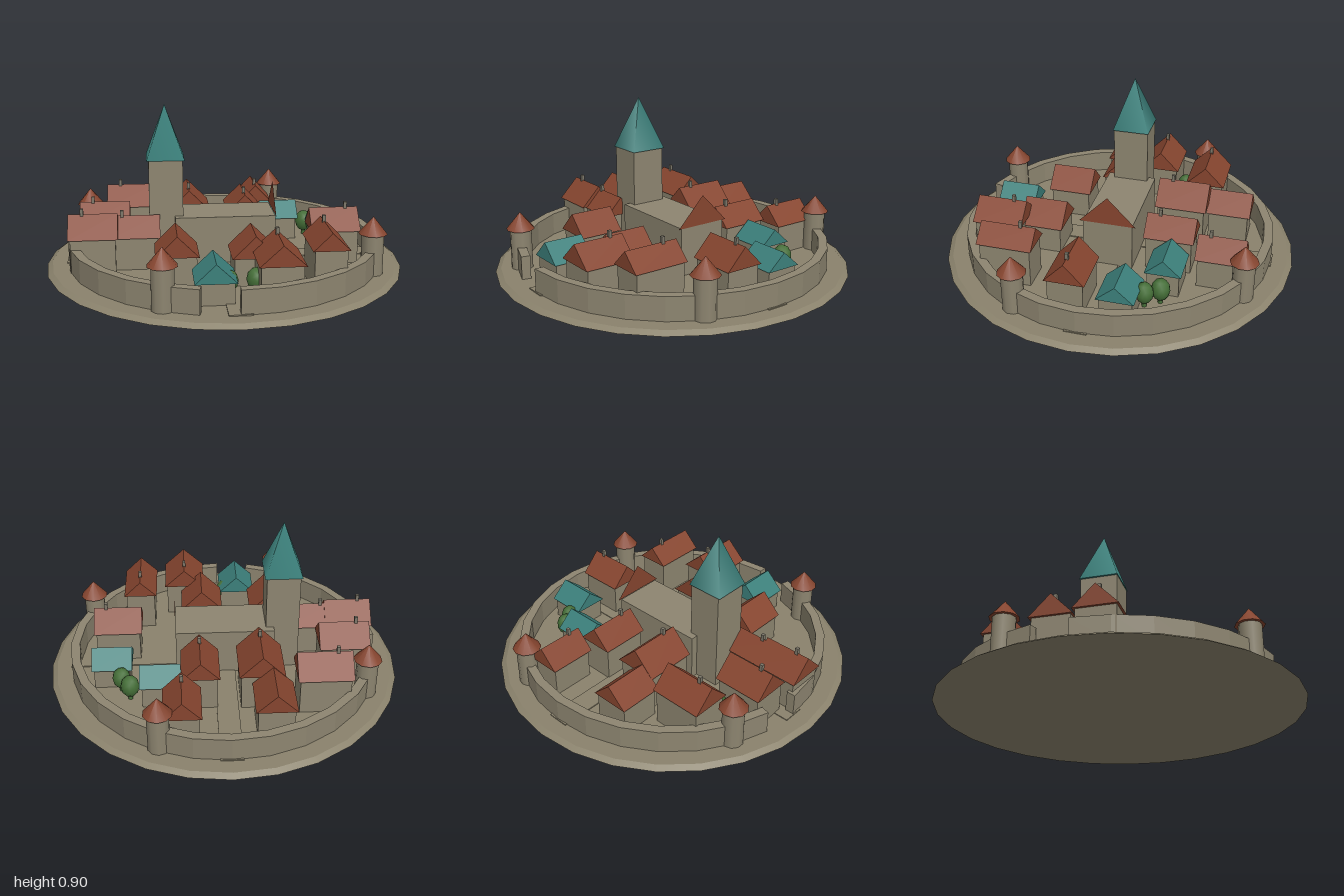
import * as THREE from 'three';

const mat = (name, color, extra = {}) => {
  const m = new THREE.MeshStandardMaterial({ color, ...extra });
  m.name = name;
  return m;
};

export function createModel() {
  const town = new THREE.Group();
  town.name = 'walledTown';
  const earth = mat('earth', 0x8a826c);
  const stone = mat('stone', 0x8d8570);
  const red = mat('redTile', 0x86452f);
  const redSheet = mat('redTileGable', 0x86452f, { side: THREE.DoubleSide });
  const teal = mat('tealTile', 0x3c807b);
  const green = mat('leaf', 0x456f38);
  const grey = mat('chimneyStone', 0x7d786a);

  const add = (name, geo, material, x = 0, y = 0, z = 0, parent = town) => {
    const mesh = new THREE.Mesh(geo, material);
    mesh.name = name;
    mesh.position.set(x, y, z);
    parent.add(mesh);
    return mesh;
  };
  const box = (name, w, h, d, material, x, y, z, parent) =>
    add(name, new THREE.BoxGeometry(w, h, d), material, x, y + h / 2, z, parent);

  const FLOOR = 0.02, SIDES = 28, STEP = (Math.PI * 2) / SIDES;

  // Ground disc and crossing roads
  add('ground', new THREE.CylinderGeometry(0.97, 1, FLOOR, SIDES), earth, 0, FLOOR / 2, 0);
  box('roadNorthSouth', 0.12, 0.006, 1.77, earth, 0, FLOOR, 0);
  box('roadEastWest', 1.77, 0.005, 0.12, earth, 0, FLOOR, 0);

  // Town wall: arcs of straight pieces, with one piece left out at each gate
  const wallArc = (name, from, to) => {
    const shape = new THREE.Shape();
    const at = (r, i) => [r * Math.cos(i * STEP), -r * Math.sin(i * STEP)];
    shape.moveTo(...at(0.88, from));
    for (let i = from + 1; i <= to; i++) shape.lineTo(...at(0.88, i));
    for (let i = to; i >= from; i--) shape.lineTo(...at(0.83, i));
    const geo = new THREE.ExtrudeGeometry(shape, { depth: 0.13, bevelEnabled: false });
    geo.rotateX(-Math.PI / 2);
    add(name, geo, stone, 0, FLOOR, 0);
  };
  wallArc('townWallShort', 8, 14);
  wallArc('townWallLong', 15, 35);

  // Round wall towers
  for (let k = 0; k < 4; k++) {
    const a = 2 * STEP + (k * Math.PI) / 2;
    const x = 0.852 * Math.cos(a), z = 0.852 * Math.sin(a);
    add('wallTower', new THREE.CylinderGeometry(0.06, 0.06, 0.23, 10), stone, x, FLOOR + 0.115, z);
    add('wallTowerRoof', new THREE.ConeGeometry(0.078, 0.095, 10), red, x, 0.2925, z);
  }

  // Church: nave with a gable at its end, square tower and spire
  box('churchNave', 0.555, 0.27, 0.28, stone, -0.0025, FLOOR, 0);
  const gable = new THREE.Shape([[-0.16, 0], [0.16, 0], [0, 0.165]].map(p => new THREE.Vector2(...p)));
  add('churchGable', new THREE.ShapeGeometry(gable), redSheet, 0.277, 0.29, 0).rotation.y = Math.PI / 2;
  box('churchTower', 0.187, 0.585, 0.2, stone, -0.328, FLOOR, 0);
  const spire = new THREE.ConeGeometry(0.148, 0.297, 4);
  spire.rotateY(Math.PI / 4);
  add('churchSpire', spire, teal, -0.328, 0.7535, 0);

  // House: box walls, a prism roof with small eaves, optional chimney on the ridge
  const house = ([x0, x1, z0, z1, axis, eave, peak, tile, chimney]) => {
    const g = new THREE.Group();
    g.name = 'house';
    const cx = (x0 + x1) / 2, cz = (z0 + z1) / 2;
    g.position.set(cx, 0, cz);
    const alongX = axis === 'x';
    const span = alongX ? z1 - z0 : x1 - x0;
    const length = alongX ? x1 - x0 : z1 - z0;
    box('houseWalls', x1 - x0 - 0.026, eave - FLOOR, z1 - z0 - 0.026, stone, 0, FLOOR, 0, g);
    const tri = new THREE.Shape();
    tri.moveTo(-span / 2, 0).lineTo(span / 2, 0).lineTo(0, peak - eave).closePath();
    const roof = new THREE.ExtrudeGeometry(tri, { depth: length, bevelEnabled: false });
    roof.translate(0, 0, -length / 2);
    if (alongX) roof.rotateY(Math.PI / 2);
    add('houseRoof', roof, tile, 0, eave, 0, g);
    if (chimney !== undefined) {
      box('chimney', 0.018, 0.07, 0.018, grey,
        alongX ? chimney - cx : 0, peak - 0.04, alongX ? 0 : chimney - cz, g);
    }
    town.add(g);
  };
  // x range, z range, ridge axis, eave height, ridge height, tile, chimney place
  [
    [-0.35, -0.13, -0.73, -0.48, 'z', 0.19, 0.295, red],
    [-0.31, -0.06, -0.485, -0.19, 'z', 0.23, 0.355, red, -0.27],
    [-0.67, -0.37, -0.54, -0.31, 'x', 0.23, 0.345, red, -0.59],
    [-0.815, -0.53, -0.23, -0.005, 'x', 0.21, 0.325, red, -0.74],
    [-0.865, -0.595, 0.005, 0.235, 'x', 0.205, 0.322, red, -0.79],
    [-0.64, -0.365, 0.01, 0.21, 'x', 0.2, 0.305, red, -0.572],
    [-0.4, -0.17, 0.235, 0.49, 'z', 0.18, 0.295, red],
    [-0.215, 0, 0.535, 0.76, 'z', 0.135, 0.237, teal],
    [-0.005, 0.24, 0.28, 0.525, 'z', 0.175, 0.295, red],
    [0.1, 0.34, 0.485, 0.77, 'z', 0.215, 0.325, red, 0.56],
    [0.39, 0.585, 0.335, 0.645, 'z', 0.245, 0.34, red, 0.42],
    [0.47, 0.745, -0.01, 0.21, 'x', 0.205, 0.32, red, 0.675],
    [0.52, 0.745, -0.27, -0.065, 'x', 0.14, 0.23, teal],
    [0.25, 0.475, -0.455, -0.255, 'x', 0.15, 0.24, teal],
    [0.04, 0.25, -0.475, -0.195, 'z', 0.215, 0.32, red, -0.27],
    [0.145, 0.35, -0.765, -0.5, 'z', 0.19, 0.295, red, -0.57],
  ].forEach(house);

  // Bushes between the houses
  for (const [x, z, r] of [[0.53, -0.36, 0.052], [0.58, -0.285, 0.05], [-0.58, -0.275, 0.05],
    [-0.03, 0.63, 0.045], [0.105, 0.62, 0.05]]) {
    add('bush', new THREE.IcosahedronGeometry(r, 1), green, x, 0.105, z).scale.y = 1.25;
    add('bushTrunk', new THREE.CylinderGeometry(0.012, 0.014, 0.05, 6), green, x, 0.04, z);
  }
  return town;
}
